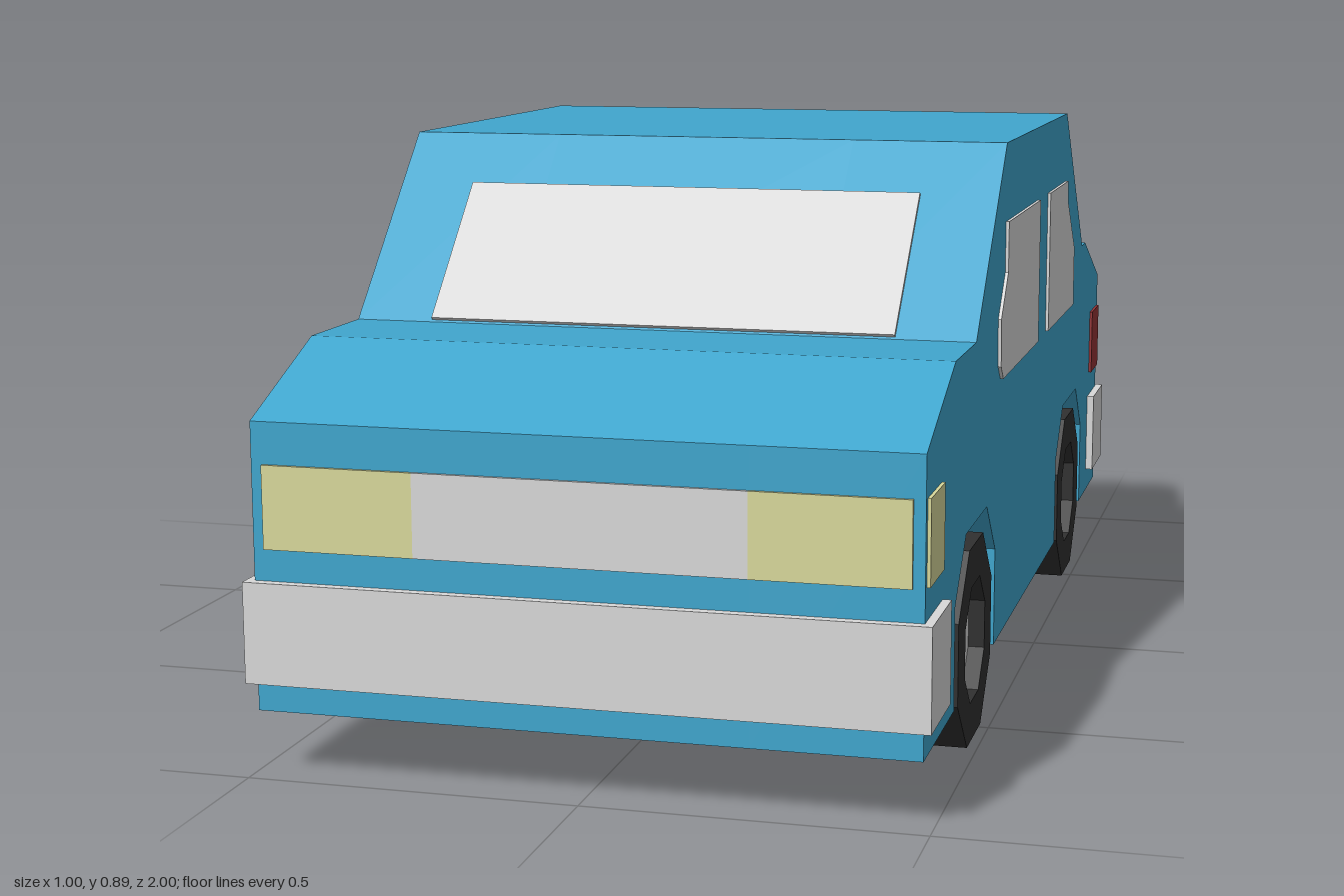
import * as THREE from 'three';

const mat = (name, color) => {
  const m = new THREE.MeshStandardMaterial({ color });
  m.name = name;
  return m;
};

export function createModel() {
  const car = new THREE.Group();
  car.name = 'car';
  const blue = mat('bodyBlue', 0x40a6ce);
  const silver = mat('silver', 0xd8d8d8);
  const grey = mat('undersideGrey', 0x6b6b6b);
  const black = mat('tyreBlack', 0x303030);
  const yellow = mat('headlightYellow', 0xd8d89b);
  const red = mat('tailLightRed', 0x953437);

  const add = (name, geo, material, parent = car) => {
    const m = new THREE.Mesh(geo, material);
    m.name = name;
    parent.add(m);
    return m;
  };
  // Side outline given as [z, y], extruded from x0 to x1
  const slab = (name, pts, x0, x1, material) => {
    const shape = new THREE.Shape(pts.map(([z, y]) => new THREE.Vector2(z, y)));
    const geo = new THREE.ExtrudeGeometry(shape, { depth: x1 - x0, bevelEnabled: false });
    geo.rotateY(-Math.PI / 2).translate(x1, 0, 0);
    return add(name, geo, material);
  };
  // Box given by its limits
  const block = (name, x0, x1, y0, y1, z0, z1, material) => {
    const geo = new THREE.BoxGeometry(x1 - x0, y1 - y0, z1 - z0);
    geo.translate((x0 + x1) / 2, (y0 + y1) / 2, (z0 + z1) / 2);
    return add(name, geo, material);
  };
  // Same slab on both sides of the car
  const slabPair = (name, pts, x0, x1, material) => {
    slab(name + 'Left', pts, x0, x1, material);
    slab(name + 'Right', pts, -x1, -x0, material);
  };

  const W = 0.487, inner = 0.243, base = 0.1, T = 0.005;
  const front = 0.985, back = -0.96;
  const axles = [-0.532, 0.56];

  // Body: solid middle, with wheel arches cut from both flanks
  const top = [[front, base], [front, 0.525], [0.765, 0.615], [0.588, 0.615], [0.315, 0.888],
    [-0.415, 0.888], [-0.685, 0.615], [-0.735, 0.615], [back, 0.525], [back, base]];
  const arch = (c) => [[c - 0.184, base], [c - 0.184, 0.255], [c - 0.095, 0.342],
    [c + 0.095, 0.342], [c + 0.184, 0.255], [c + 0.184, base]];
  slab('bodyMiddle', top, -inner, inner, blue);
  slabPair('bodyFlank', [...top, ...axles.flatMap(arch)], inner, W, blue);
  axles.forEach((c) => slabPair('archWall', arch(c), inner - 0.002, inner + 0.002, grey));

  // Underside panel, leaving the wheel wells open
  const yb = base - 0.004;
  block('underside', -inner, inner, yb, base, -0.84, 0.865, grey);
  for (const s of [-1, 1]) {
    const [a, b] = s > 0 ? [inner, 0.36] : [-0.36, -inner];
    for (const [z0, z1] of [[-0.84, -0.716], [-0.348, 0.376], [0.744, 0.865]]) {
      block('undersideEdge', a, b, yb, base, z0, z1, grey);
    }
  }

  // Windscreen and rear window lying on the slopes
  const o = 0.004;
  slab('windscreen', [[0.585, 0.618], [0.585 + o, 0.618 + o], [0.392 + o, 0.811 + o], [0.392, 0.811]],
    -0.365, 0.365, silver);
  slab('rearWindow', [[-0.682, 0.618], [-0.51, 0.792], [-0.51 - o, 0.792 + o], [-0.682 - o, 0.618 + o]],
    -0.365, 0.365, silver);

  // Side windows
  slabPair('frontSideWindow', [[0.375, 0.545], [0.38, 0.62], [0.315, 0.685], [0.315, 0.765],
    [-0.045, 0.765], [-0.045, 0.522], [0.35, 0.522]], W, W + T, silver);
  slabPair('rearSideWindow', [[-0.17, 0.522], [-0.17, 0.765], [-0.415, 0.765], [-0.415, 0.728],
    [-0.522, 0.63], [-0.522, 0.522]], W, W + T, silver);

  // Lights wrapping round the corners
  const y0 = 0.34, y1 = 0.463;
  for (const [a, b] of [[inner, 0.47], [-0.47, -inner]]) {
    block('headlight', a, b, y0, y1, front, front + T, yellow);
    block('tailLight', a, b, y0, y1, back - T, back, red);
  }
  for (const [a, b] of [[W, W + T], [-W - T, -W]]) {
    block('headlightSide', a, b, y0, y1, 0.866, 0.974, yellow);
    block('tailLightSide', a, b, y0, y1, -0.947, -0.84, red);
  }
  block('grille', -inner, inner, y0, y1, front, front + T, silver);
  block('rearPlate', -0.12, 0.12, 0.447, 0.522, back - T, back, silver);

  // Bumpers
  block('frontBumper', -0.5, 0.5, 0.143, 0.293, 0.85, 1, silver);
  block('rearBumper', -0.5, 0.5, 0.143, 0.293, -0.975, -0.825, silver);

  // Exhaust pipe with a dark open end
  slab('exhaust', [[-0.72, 0.1], [-0.765, 0.212], [-0.998, 0.115], [-0.953, 0.003]], -0.365, -0.248, silver);
  slab('exhaustOpening', [[-0.953, 0.003], [-0.998, 0.115], [-1, 0.114], [-0.955, 0.002]],
    -0.365, -0.248, black);

  // Eight-sided wheels with hubs recessed on both faces
  const R = 0.1635, r = 0.097, half = 0.121;
  const ring = [[r, -half], [R, -half], [R, half], [r, half], [r, -half]]
    .map(([x, y]) => new THREE.Vector2(x, y));
  const tyreGeo = new THREE.LatheGeometry(ring, 8).toNonIndexed();
  tyreGeo.computeVertexNormals();
  const hubGeo = new THREE.CylinderGeometry(r, r, 2 * half - 0.05, 8);
  for (const g of [tyreGeo, hubGeo]) g.rotateY(Math.PI / 8).rotateZ(Math.PI / 2);
  for (const z of axles) {
    for (const s of [-1, 1]) {
      const wheel = new THREE.Group();
      wheel.name = (z > 0 ? 'front' : 'rear') + 'Wheel' + (s > 0 ? 'Left' : 'Right');
      wheel.position.set(s * 0.366, 0.158, z);
      add('tyre', tyreGeo, black, wheel);
      add('hub', hubGeo, silver, wheel);
      car.add(wheel);
    }
  }
  return car;
}
